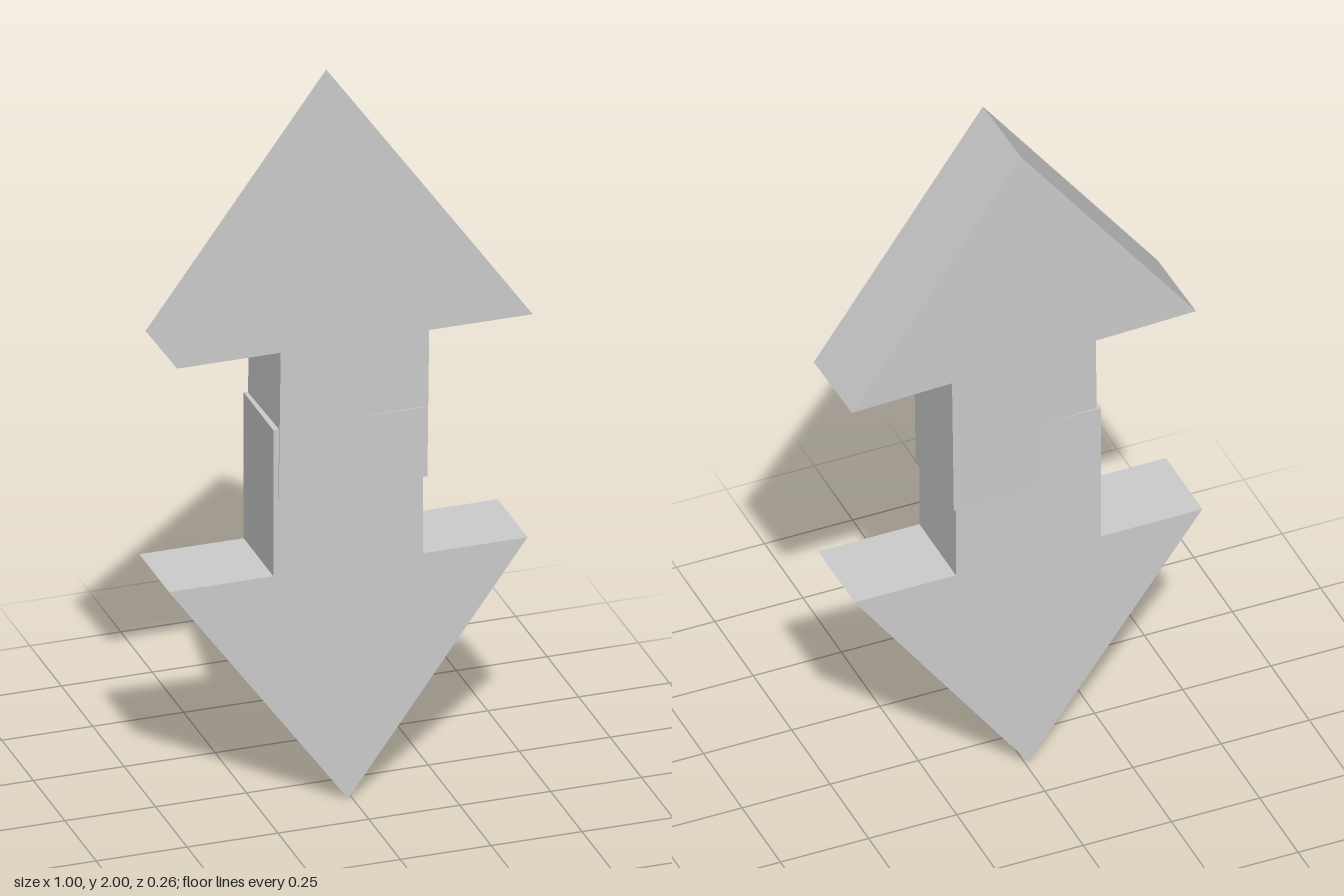
import * as THREE from 'three';

const HEAD_H = 0.678, HEAD_W = 0.493, SHAFT_W = 0.206, SHAFT_L = 0.423, DEPTH = 0.236;

// Flat arrow pointing up, with the base of its head at the origin
function makeArrow(name) {
  const shape = new THREE.Shape([
    [0, HEAD_H], [-HEAD_W, 0], [-SHAFT_W, 0], [-SHAFT_W, -SHAFT_L],
    [SHAFT_W, -SHAFT_L], [SHAFT_W, 0], [HEAD_W, 0],
  ].map(([x, y]) => new THREE.Vector2(x, y)));
  const geometry = new THREE.ExtrudeGeometry(shape, { depth: DEPTH, bevelEnabled: false });
  geometry.translate(0, 0, -DEPTH / 2);
  const material = new THREE.MeshStandardMaterial({ color: 0xcccccc, flatShading: true });
  const mesh = new THREE.Mesh(geometry, material);
  mesh.name = name;
  return mesh;
}

export function createModel() {
  const model = new THREE.Group();
  model.name = 'doubleArrow';

  // Lower arrow, pointing straight down
  const lower = makeArrow('lowerArrow');
  lower.position.set(-0.011, HEAD_H, 0);
  lower.rotation.z = Math.PI;

  // Upper arrow, slightly turned and tilted, its shaft overlapping the lower one
  const upper = makeArrow('upperArrow');
  upper.position.set(0.005, 2 - HEAD_H, -0.001);
  upper.rotation.set(0, 0.023, -0.012);

  model.add(lower, upper);
  return model;
}
